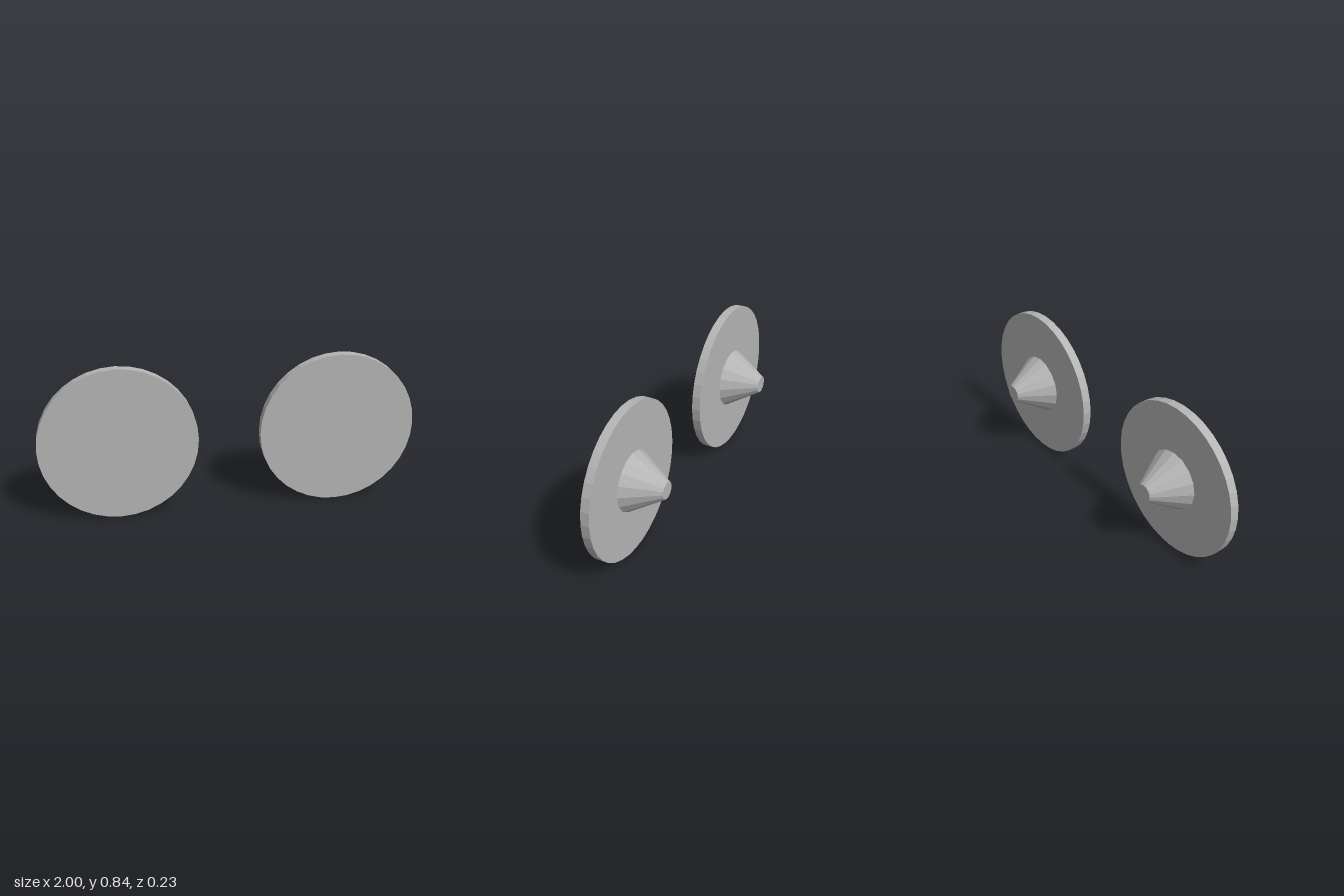
import * as THREE from 'three';

const DISC_RADIUS = 0.418;
const DISC_FRONT = 0.117;
const DISC_BACK = 0.07;

// Cylinder or cone frustum lying along z, between a back and a front plane
function turned(name, frontRadius, backRadius, back, front, sides, material) {
  const geometry = new THREE.CylinderGeometry(frontRadius, backRadius, front - back, sides);
  geometry.rotateX(Math.PI / 2);
  const mesh = new THREE.Mesh(geometry, material);
  mesh.name = name;
  mesh.position.z = (front + back) / 2;
  return mesh;
}

export function createModel() {
  const grey = new THREE.MeshStandardMaterial({ color: 0xb4b4b4 });
  grey.name = 'plain grey';
  grey.flatShading = true;

  const model = new THREE.Group();
  model.name = 'discPair';

  // Mirrored pair: a flat disc with a tapered hub behind it
  for (const side of [-1, 1]) {
    const unit = new THREE.Group();
    unit.name = side > 0 ? 'leftDisc' : 'rightDisc';
    unit.position.set(side * (1 - DISC_RADIUS), DISC_RADIUS, 0);
    unit.add(turned('plate', DISC_RADIUS, DISC_RADIUS, DISC_BACK, DISC_FRONT, 36, grey));
    unit.add(turned('hub', 0.162, 0.046, -0.117, DISC_BACK, 16, grey));
    model.add(unit);
  }
  return model;
}
